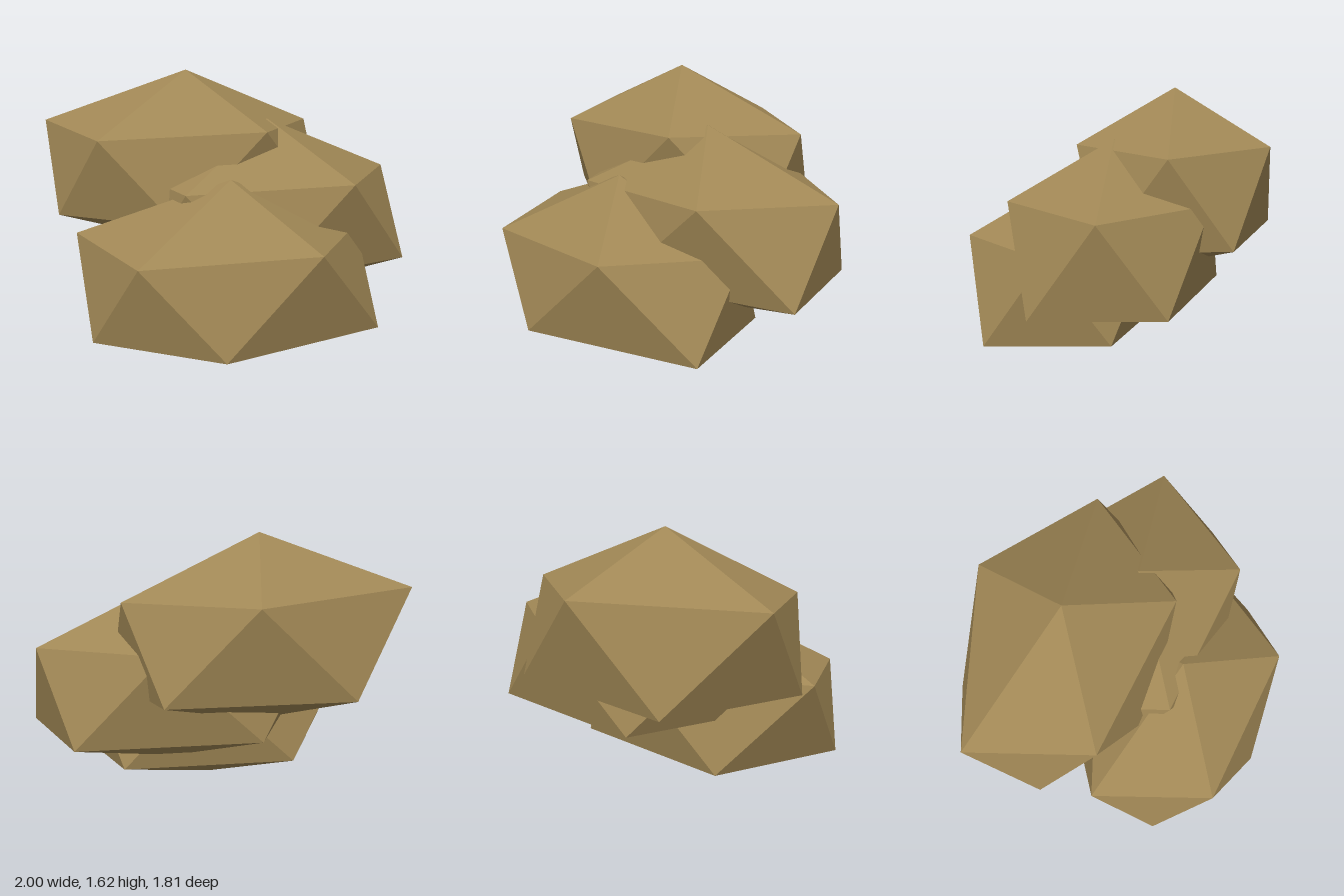
import * as THREE from 'three';

// Irregular twenty-sided boulder: two staggered five-point rings capped by two poles
function boulderGeometry() {
  const top = [0, 1.075, 0];
  const base = [0, 0, 0];
  const upper = [[0.81, 0.737, 0], [0.27, 0.755, 0.555], [-0.64, 0.728, 0.305], [-0.77, 0.773, -0.37], [0.27, 0.753, -0.555]];
  const lower = [[0.75, 0.227, 0.36], [-0.26, 0.255, 0.53], [-0.8, 0.265, 0], [-0.29, 0.225, -0.595], [0.71, 0.237, -0.35]];
  const positions = [];
  const face = (a, b, c) => positions.push(...a, ...b, ...c);
  for (let i = 0; i < 5; i++) {
    const j = (i + 1) % 5;
    face(top, upper[j], upper[i]);
    face(upper[i], upper[j], lower[i]);
    face(lower[j], lower[i], upper[j]);
    face(base, lower[i], lower[j]);
  }
  const geometry = new THREE.BufferGeometry();
  geometry.setAttribute('position', new THREE.Float32BufferAttribute(positions, 3));
  geometry.computeVertexNormals();
  return geometry;
}

export function createModel() {
  const group = new THREE.Group();
  group.name = 'boulderPile';
  const stone = new THREE.MeshStandardMaterial({ color: 0xa08755, flatShading: true });
  stone.name = 'tan stone';
  const geometry = boulderGeometry();

  // Three equal boulders, each stepped up and back from the one before
  const boulders = [
    ['frontBoulder', -0.2, 0, 0.345],
    ['middleBoulder', 0.185, 0.275, 0.015],
    ['backBoulder', -0.2, 0.55, -0.31],
  ];
  for (const [name, x, y, z] of boulders) {
    const boulder = new THREE.Mesh(geometry, stone);
    boulder.name = name;
    boulder.position.set(x, y, z);
    group.add(boulder);
  }
  return group;
}
